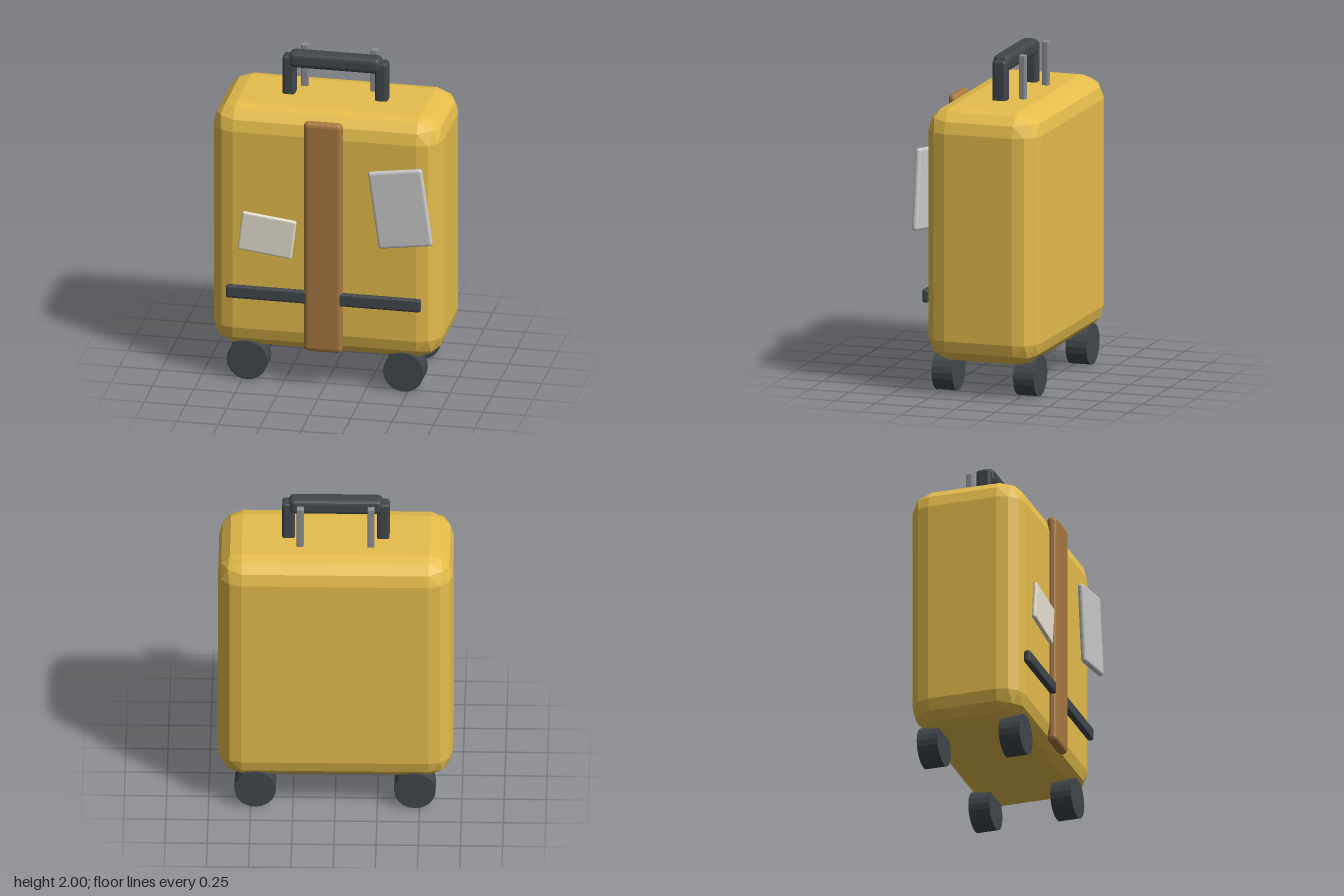
import * as THREE from 'three';
import { ConvexGeometry } from 'three/addons/geometries/ConvexGeometry.js';

const mat = (color) => new THREE.MeshStandardMaterial({ color, flatShading: true });

// Box with bevelled edges and corners: the hull of eight faceted corner patches.
function bevelBox(w, h, d, r, n = 3) {
  const pts = [];
  const s = (i) => Math.sin((i / n) * Math.PI / 2);
  for (const sx of [-1, 1]) for (const sy of [-1, 1]) for (const sz of [-1, 1]) {
    for (let i = 0; i <= n; i++) for (let j = 0; j <= n - i; j++) {
      const p = new THREE.Vector3(s(i), s(j), s(n - i - j)).normalize().multiplyScalar(r);
      p.add(new THREE.Vector3(w / 2 - r, h / 2 - r, d / 2 - r));
      pts.push(p.multiply(new THREE.Vector3(sx, sy, sz)));
    }
  }
  return new ConvexGeometry(pts);
}

export function createModel() {
  const group = new THREE.Group();
  const yellow = mat(0xe6bd4c), brown = mat(0xa87840), dark = mat(0x41474c);
  const metal = mat(0x8c8e92), cream = mat(0xe8e2d0), white = mat(0xe0e1de);

  function add(name, geometry, material, x, y, z, rotZ = 0) {
    const mesh = new THREE.Mesh(geometry, material);
    mesh.name = name;
    mesh.position.set(x, y, z);
    mesh.rotation.z = rotZ;
    group.add(mesh);
    return mesh;
  }

  // Case and the vertical strap on its front
  add('body', bevelBox(1.39, 1.535, 0.705, 0.14), yellow, 0, 0.967, -0.038);
  add('centreStrap', bevelBox(0.235, 1.47, 0.062, 0.028), brown, -0.002, 0.97, 0.322);

  // Paper labels
  add('smallLabel', bevelBox(0.33, 0.245, 0.027, 0.012), cream, -0.337, 0.965, 0.348, -0.122);
  add('largeLabel', bevelBox(0.33, 0.49, 0.038, 0.016), white, 0.473, 1.21, 0.369, 0.138);

  // Paired parts
  for (const side of [-1, 1]) {
    const label = side > 0 ? 'left' : 'right';
    add(label + 'FrontBar', bevelBox(0.495, 0.08, 0.04, 0.014), dark, side * 0.341, 0.58, 0.331);
    add(label + 'HandlePost', bevelBox(0.076, 0.29, 0.088, 0.018), dark, side * 0.28, 1.83, -0.037);
    add(label + 'PullRod', bevelBox(0.042, 0.34, 0.04, 0.006), metal, side * 0.21, 1.83, -0.153);
    for (const [end, z] of [['Front', 0.222], ['Back', -0.29]]) {
      const wheel = new THREE.CylinderGeometry(0.123, 0.123, 0.13, 20).rotateX(Math.PI / 2);
      add(label + end + 'Wheel', wheel, dark, side * 0.473, 0.124, z);
    }
  }

  // Handle grip
  add('handleGrip', bevelBox(0.555, 0.096, 0.104, 0.028), dark, 0, 1.952, -0.037);

  return group;
}
